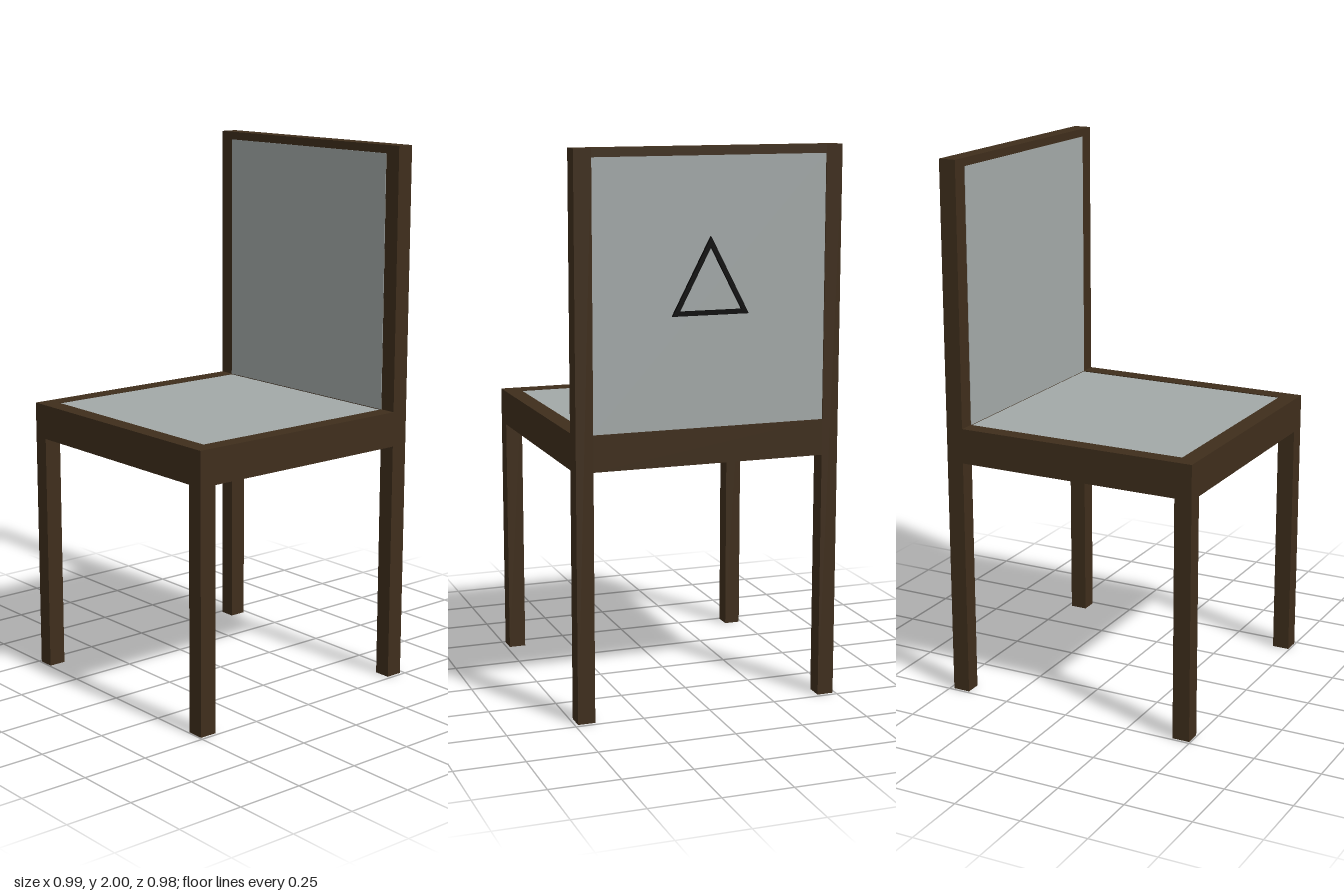
import * as THREE from 'three';

export function createModel() {
  const chair = new THREE.Group();
  chair.name = 'chair';
  const wood = new THREE.MeshStandardMaterial({ color: 0x3f2e1c });
  const panel = new THREE.MeshStandardMaterial({ color: 0xa3a9a8 });
  const black = new THREE.MeshStandardMaterial({ color: 0x080808 });

  // Box given by its extents along each axis
  function box(name, material, [x0, x1], [y0, y1], [z0, z1]) {
    const mesh = new THREE.Mesh(new THREE.BoxGeometry(x1 - x0, y1 - y0, z1 - z0), material);
    mesh.position.set((x0 + x1) / 2, (y0 + y1) / 2, (z0 + z1) / 2);
    mesh.name = name;
    chair.add(mesh);
  }

  // The backrest stands on the +x side
  const open = [-0.495, -0.43], back = [0.42, 0.485];
  const innerX = [-0.43, 0.42], innerZ = [-0.43, 0.425];
  const seatY = [0.9, 1.03];

  // Legs, posts and side rails
  for (const z of [[-0.49, -0.43], [0.425, 0.488]]) {
    box('shortLeg', wood, open, [0, 1.03], z);
    box('backPost', wood, back, [0, 2], z);
    box('sideRail', wood, innerX, seatY, z);
  }

  // Cross rails
  box('seatFrontRail', wood, open, seatY, innerZ);
  box('seatBackRail', wood, back, seatY, innerZ);
  box('topRail', wood, back, [1.97, 2], innerZ);

  // Infill panels, nearly flush with the frame
  box('seatPanel', panel, innerX, [0.905, 1.027], innerZ);
  box('backPanel', panel, [0.418, 0.482], [1.03, 1.97], innerZ);

  // Open triangular ornament on the outer face of the backrest
  const triangle = (half, base, apex) => [
    new THREE.Vector2(-half, base), new THREE.Vector2(half, base), new THREE.Vector2(0, apex),
  ];
  const outline = new THREE.Shape(triangle(0.14, 1.425, 1.695));
  outline.holes.push(new THREE.Path(triangle(0.114, 1.441, 1.66)));
  const ornament = new THREE.Mesh(
    new THREE.ExtrudeGeometry(outline, { depth: 0.013, bevelEnabled: false }), black);
  ornament.name = 'triangleOrnament';
  ornament.rotation.y = Math.PI / 2;
  ornament.position.x = 0.481;
  chair.add(ornament);

  return chair;
}
